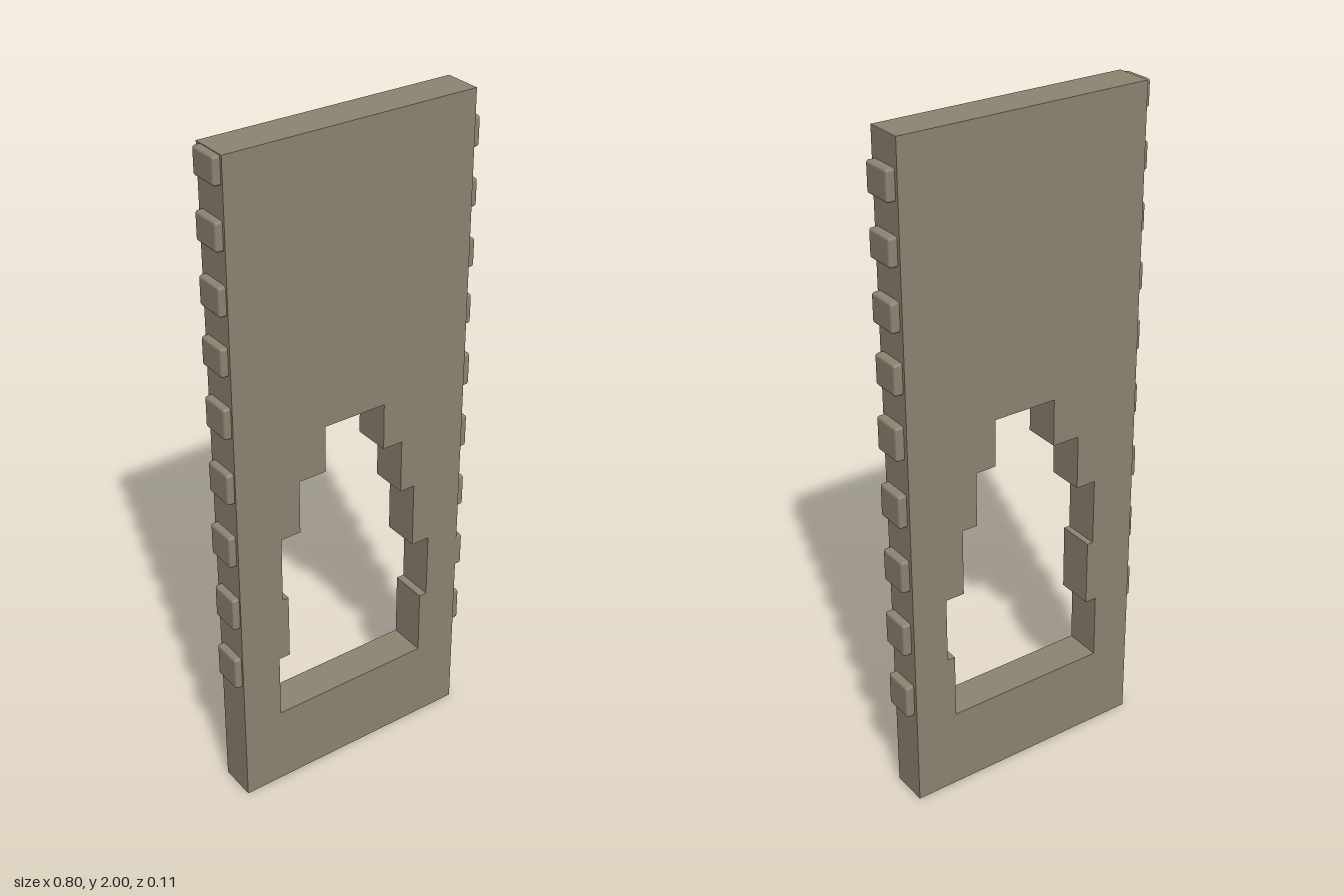
import * as THREE from 'three';
import { RoundedBoxGeometry } from 'three/addons/geometries/RoundedBoxGeometry.js';

export function createModel() {
  const model = new THREE.Group();
  model.name = 'steppedOpeningWall';
  const stone = new THREE.MeshStandardMaterial({ color: 0x8b8471 });
  stone.name = 'weatheredStone';

  const left = 0.376, right = -0.38, back = -0.057, depth = 0.112, sillTop = 0.25;

  // Sill slab along the bottom
  const sill = new THREE.Mesh(new THREE.BoxGeometry(left - right, sillTop, depth), stone);
  sill.name = 'sill';
  sill.position.set((left + right) / 2, sillTop / 2, back + depth / 2);
  model.add(sill);

  // Courses of the ragged opening: [top, -x edge, +x edge]
  const courses = [
    [0.452, -0.258, 0.244],
    [0.655, -0.223, 0.268],
    [0.86, -0.242, 0.21],
    [1.025, -0.18, 0.163],
    [1.167, -0.095, 0.1],
  ];

  // Wall outline: up the outside, then along the steps of the opening
  const outline = [[right, sillTop], [courses[0][1], sillTop]];
  courses.forEach(([top, minX], i) => {
    outline.push([minX, top]);
    if (i < courses.length - 1) outline.push([courses[i + 1][1], top]);
  });
  for (let i = courses.length - 1; i >= 0; i--) {
    const [top, , maxX] = courses[i];
    outline.push([maxX, top], [maxX, i ? courses[i - 1][0] : sillTop]);
  }
  outline.push([left, sillTop], [left, 2], [right, 2]);
  const shape = new THREE.Shape(outline.map(([x, y]) => new THREE.Vector2(x, y)));
  const wall = new THREE.Mesh(
    new THREE.ExtrudeGeometry(shape, { depth, bevelEnabled: false }), stone);
  wall.name = 'wall';
  wall.position.z = back;
  model.add(wall);

  // Toothing stones on both edges: [bottom, top, z centre]
  const leftStones = [
    [0.298, 0.402, 0.002], [0.508, 0.612, 0.006], [0.72, 0.82, 0.002],
    [0.925, 1.025, 0.003], [1.128, 1.228, 0.004], [1.32, 1.41, -0.001],
    [1.493, 1.577, 0.002], [1.668, 1.748, 0.001], [1.835, 1.92, 0.001],
  ];
  const rightStones = [
    [0.403, 0.507, 0.001], [0.613, 0.717, 0.003], [0.823, 0.922, -0.002],
    [1.028, 1.122, 0.002], [1.228, 1.32, 0.001], [1.41, 1.493, -0.001],
    [1.58, 1.663, 0.002], [1.753, 1.833, 0], [1.922, 1.998, 0.001],
  ];
  const addStones = (name, rows, side) => {
    const group = new THREE.Group();
    group.name = name;
    for (const [bottom, top, z] of rows) {
      const block = new THREE.Mesh(
        new RoundedBoxGeometry(0.06, top - bottom, 0.094, 2, 0.008), stone);
      block.name = 'toothingStone';
      block.position.set(side * 0.37, (bottom + top) / 2, z);
      group.add(block);
    }
    model.add(group);
  };
  addStones('leftStones', leftStones, 1);
  addStones('rightStones', rightStones, -1);

  return model;
}
